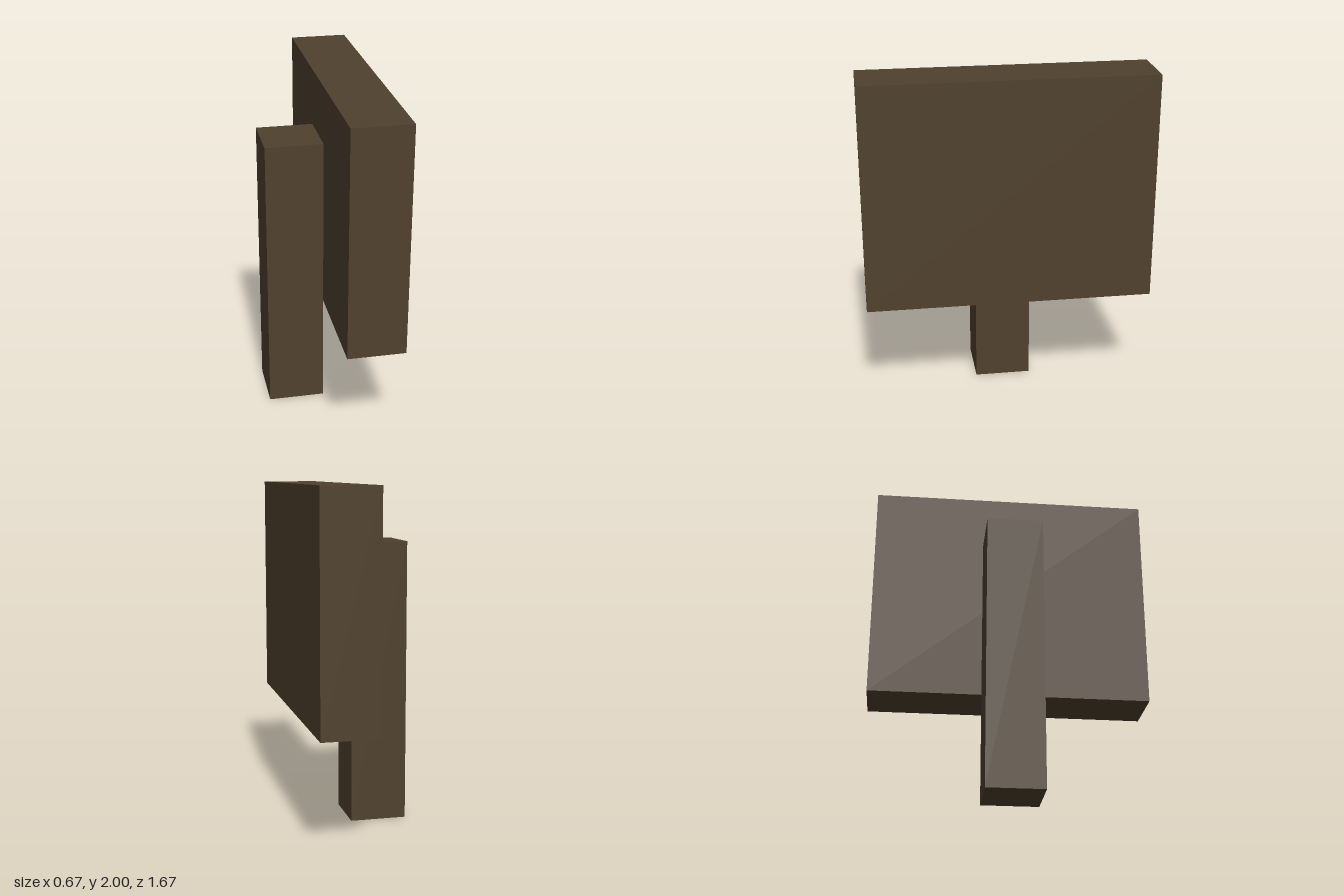
import * as THREE from 'three';

export function createModel() {
  const group = new THREE.Group();
  const darkWood = new THREE.MeshStandardMaterial({ color: 0x50412e });
  darkWood.name = 'darkWood';
  const unit = 1 / 3;

  // Box sized in thirds, centred on z, from its lower-right corner
  function addBox(name, x, y, width, height, depth) {
    const mesh = new THREE.Mesh(
      new THREE.BoxGeometry(width * unit, height * unit, depth * unit), darkWood);
    mesh.name = name;
    mesh.position.set((x + width / 2) * unit, (y + height / 2) * unit, 0);
    group.add(mesh);
  }

  // Upright post standing on the ground
  addBox('post', -1, 0, 1, 5, 1);
  // Wide board fixed to the side of the post
  addBox('signBoard', 0, 2, 1, 4, 5);

  return group;
}
